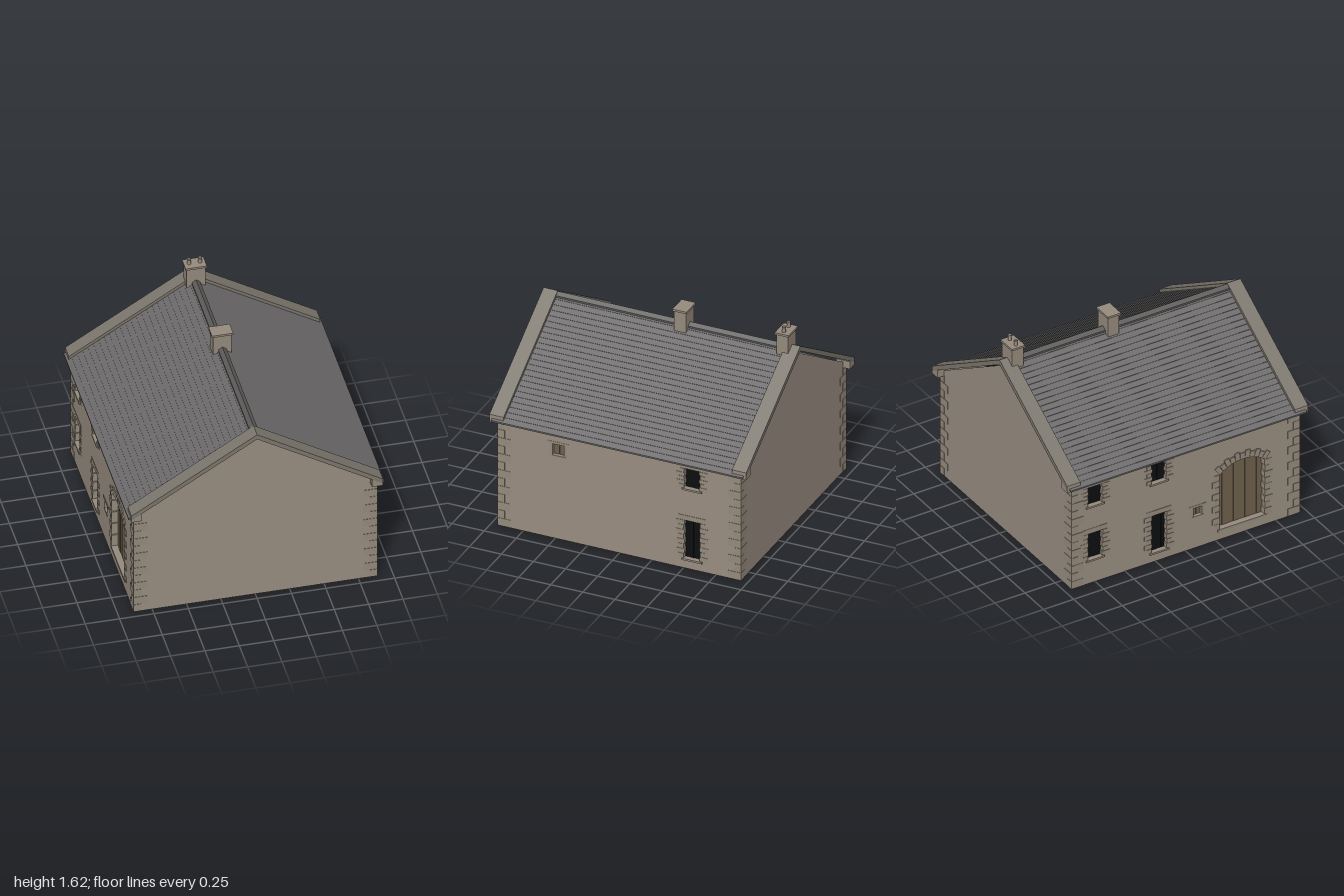
import * as THREE from 'three';

const mat = (name, color, extra = {}) => {
  const m = new THREE.MeshStandardMaterial({ color, ...extra });
  m.name = name;
  return m;
};

export function createModel() {
  const wallMat = mat('wall stone', 0x988d80, { side: THREE.DoubleSide });
  const stone = mat('dressed stone', 0x958a7c);
  const copingMat = mat('coping stone', 0x7b766c);
  const slate = mat('slate', 0x6b696a);
  const ridgeMat = mat('ridge tile', 0x5c5b59);
  const black = mat('dark opening', 0x0d0e10);
  const wood = mat('brown timber', 0x6e5f4b);

  const model = new THREE.Group();
  model.name = 'stoneBarn';
  const HX = 0.883, HZ = 0.945, EAVE = 0.862, PITCH = 0.615;

  const add = (parent, name, geo, material, x = 0, y = 0, z = 0) => {
    const m = new THREE.Mesh(geo, material);
    m.name = name;
    m.position.set(x, y, z);
    parent.add(m);
    return m;
  };
  const box = (parent, name, material, w, h, d, x, y, z) =>
    add(parent, name, new THREE.BoxGeometry(w, h, d), material, x, y, z);
  const poly = (pts) => new THREE.Shape(pts.map(([x, y]) => new THREE.Vector2(x, y)));
  const extrude = (shape, depth) =>
    new THREE.ExtrudeGeometry(shape, { depth, bevelEnabled: false, curveSegments: 16 });

  // Gable walls
  for (const s of [1, -1]) {
    const gable = poly([[-HX, 0], [HX, 0], [HX, EAVE], [0, EAVE + HX * PITCH], [-HX, EAVE]]);
    const m = add(model, s > 0 ? 'frontGable' : 'backGable', new THREE.ShapeGeometry(gable), wallMat, 0, 0, s * HZ);
    if (s < 0) m.rotation.y = Math.PI;
  }

  // Side walls: local x runs along the wall, local +z points outward
  function sideWall(name, side) {
    const g = new THREE.Group();
    g.name = name;
    g.position.x = side * HX;
    g.rotation.y = side * Math.PI / 2;
    model.add(g);
    return { g, shape: poly([[-HZ, 0], [HZ, 0], [HZ, EAVE], [-HZ, EAVE]]), u: (z) => -side * z };
  }
  const finish = (w) => add(w.g, 'wallFace', new THREE.ShapeGeometry(w.shape), wallMat);
  const cut = (w, pts) => w.shape.holes.push(new THREE.Path(pts.map(([x, y]) => new THREE.Vector2(x, y))));

  // Alternating jamb stones on both sides of an opening
  function jambs(w, u, width, y0, y1, rows) {
    const h = (y1 - y0) / rows;
    for (const s of [-1, 1]) for (let i = 0; i < rows; i++) {
      const long = (i + (s > 0 ? 1 : 0)) % 2;
      const len = long ? 0.065 : 0.04, bite = long ? 0.006 : 0;
      box(w.g, 'jambStone', stone, len, h - 0.004, 0.055,
        u + s * (width / 2 - bite + len / 2), y0 + h * (i + 0.5), -0.0245);
    }
  }

  // Rectangular window or door with dark boards set into the wall
  function opening(w, name, z, width, y0, y1, rows, boards) {
    const u = w.u(z), a = width / 2;
    cut(w, [[u - a, y0], [u - a, y1], [u + a, y1], [u + a, y0]]);
    jambs(w, u, width, y0, y1, rows);
    box(w.g, name + 'Lintel', stone, width + 0.08, 0.04, 0.055, u, y1 + 0.02, -0.0245);
    box(w.g, name + 'Sill', stone, width + 0.03, 0.014, 0.06, u, y0 - 0.007, -0.02);
    const bw = width / boards;
    for (let i = 0; i < boards; i++)
      box(w.g, name + 'Board', black, bw - 0.001, y1 - y0, 0.012 + 0.003 * (i % 2),
        u - a + bw * (i + 0.5), (y0 + y1) / 2, -0.036);
  }

  // Small shuttered vent
  function vent(w, z, y, size) {
    const u = w.u(z), a = size / 2;
    cut(w, [[u - a, y - a], [u - a, y + a], [u + a, y + a], [u + a, y - a]]);
    for (const s of [-1, 1]) {
      box(w.g, 'ventShutter', wood, a - 0.002, size, 0.01, u + s * a / 2, y, -0.03);
      box(w.g, 'ventJamb', stone, 0.02, size, 0.045, u + s * (a + 0.01), y, -0.021);
    }
    box(w.g, 'ventLintel', stone, size + 0.08, 0.02, 0.06, u, y + a + 0.01, -0.028);
    box(w.g, 'ventSill', stone, size + 0.03, 0.014, 0.05, u, y - a - 0.007, -0.022);
  }

  const right = sideWall('rightWall', 1);
  opening(right, 'upperWindow', -0.565, 0.125, 0.65, 0.81, 5, 2);
  opening(right, 'door', -0.565, 0.13, 0.08, 0.39, 8, 4);
  vent(right, 0.477, 0.72, 0.09);
  finish(right);

  const left = sideWall('leftWall', -1);
  opening(left, 'upperWindow', -0.75, 0.125, 0.65, 0.81, 5, 2);
  opening(left, 'lowerWindow', -0.75, 0.125, 0.2, 0.42, 6, 2);
  opening(left, 'upperWindow', -0.22, 0.125, 0.66, 0.82, 5, 2);
  opening(left, 'door', -0.22, 0.13, 0.08, 0.39, 8, 4);
  vent(left, 0.1, 0.3, 0.07);

  // Arched cart door: segmental head, voussoirs and planks
  const cz = left.u(0.47), a = 0.19, y0 = 0.085, spring = 0.55, rise = 0.07;
  const R = (a * a + rise * rise) / (2 * rise), cy = spring + rise - R, half = Math.asin(a / R);
  const arch = [[cz - a, y0]];
  for (let i = 0; i <= 12; i++) {
    const t = -half + (2 * half * i) / 12;
    arch.push([cz + R * Math.sin(t), cy + R * Math.cos(t)]);
  }
  arch.push([cz + a, y0]);
  cut(left, arch);
  jambs(left, cz, 2 * a, y0, spring, 9);
  const N = 11;
  for (let i = 0; i < N; i++) {
    const t = -half + (2 * half * (i + 0.5)) / N, h = i % 2 ? 0.05 : 0.065;
    const v = box(left.g, 'voussoir', stone, (2 * half * R) / N, h, 0.06,
      cz + (R + h / 2) * Math.sin(t), cy + (R + h / 2) * Math.cos(t), -0.022);
    v.rotation.z = -t;
  }
  box(left.g, 'threshold', stone, 2 * a + 0.03, 0.02, 0.06, cz, y0 - 0.01, -0.025);
  const planks = 8, pw = (2 * a) / planks;
  for (let i = 0; i < planks; i++)
    box(left.g, 'doorPlank', wood, pw - 0.002, spring + rise - y0, 0.012 + 0.004 * (i % 2),
      cz - a + pw * (i + 0.5), (y0 + spring + rise) / 2, -0.05);
  finish(left);

  // Corner quoins, long and short in turn
  const rows = 13, qh = 0.85 / rows;
  for (const sx of [-1, 1]) for (const sz of [-1, 1]) for (let i = 0; i < rows; i++) {
    const lx = i % 2 ? 0.1 : 0.055, lz = i % 2 ? 0.055 : 0.1;
    box(model, 'quoin', stone, lx, qh - 0.004, lz,
      sx * (HX + 0.003 - lx / 2), qh * (i + 0.5), sz * (HZ + 0.003 - lz / 2));
  }

  // Slate roof with slightly stepped courses
  const ridge = 1.44, EX = 0.93, courses = 24, half_ = [];
  for (let i = 0; i < courses; i++) {
    const x0 = (EX * i) / courses, x1 = (EX * (i + 1)) / courses;
    half_.push([x0, ridge - x0 * PITCH - (i ? 0.002 : 0)], [x1, ridge - x1 * PITCH]);
  }
  const under = [EX, ridge - EX * PITCH - 0.012];
  const top = [...half_.map(([x, y]) => [-x, y]).reverse(), ...half_.slice(1)];
  const roof = poly([...top, under, [0, ridge - 0.012], [-under[0], under[1]]]);
  add(model, 'slateRoof', extrude(roof, 1.96), slate, 0, 0, -0.98);

  // Ridge tiles
  const cap = poly([[-0.03, 1.424], [0, 1.44], [0.03, 1.424], [0.03, 1.438], [0, 1.46], [-0.03, 1.438]]);
  add(model, 'ridgeTiles', extrude(cap, 1.8), ridgeMat, 0, 0, -0.9);

  // Gable copings with kneeler stones at their feet
  const K = 0.912, ct = 1.465, cb = 1.425;
  const coping = poly([[-K, cb - K * PITCH], [0, cb], [K, cb - K * PITCH], [K, ct - K * PITCH], [0, ct], [-K, ct - K * PITCH]]);
  for (const s of [-1, 1]) {
    add(model, 'gableCoping', extrude(coping, 0.11), copingMat, 0, 0, s > 0 ? 0.89 : -1);
    for (const sx of [-1, 1])
      box(model, 'kneeler', stone, 0.078, 0.06, 0.108, sx * 0.875, 0.875, s * 0.945);
  }

  // Chimneys
  for (const [name, z, pots] of [['middleChimney', -0.094, false], ['backChimney', -0.89, true]]) {
    const g = new THREE.Group();
    g.name = name;
    g.position.z = z;
    model.add(g);
    box(g, 'stack', stone, 0.135, 0.165, 0.092, 0, 1.4825, 0);
    box(g, 'stackCap', stone, 0.155, 0.016, 0.11, 0, 1.568, 0);
    if (pots) for (const x of [-0.04, 0.04]) {
      add(g, 'chimneyPot', new THREE.CylinderGeometry(0.012, 0.014, 0.046, 12), stone, x, 1.597, 0);
      add(g, 'potRim', new THREE.CylinderGeometry(0.015, 0.015, 0.008, 12), stone, x, 1.612, 0);
    }
  }
  return model;
}
